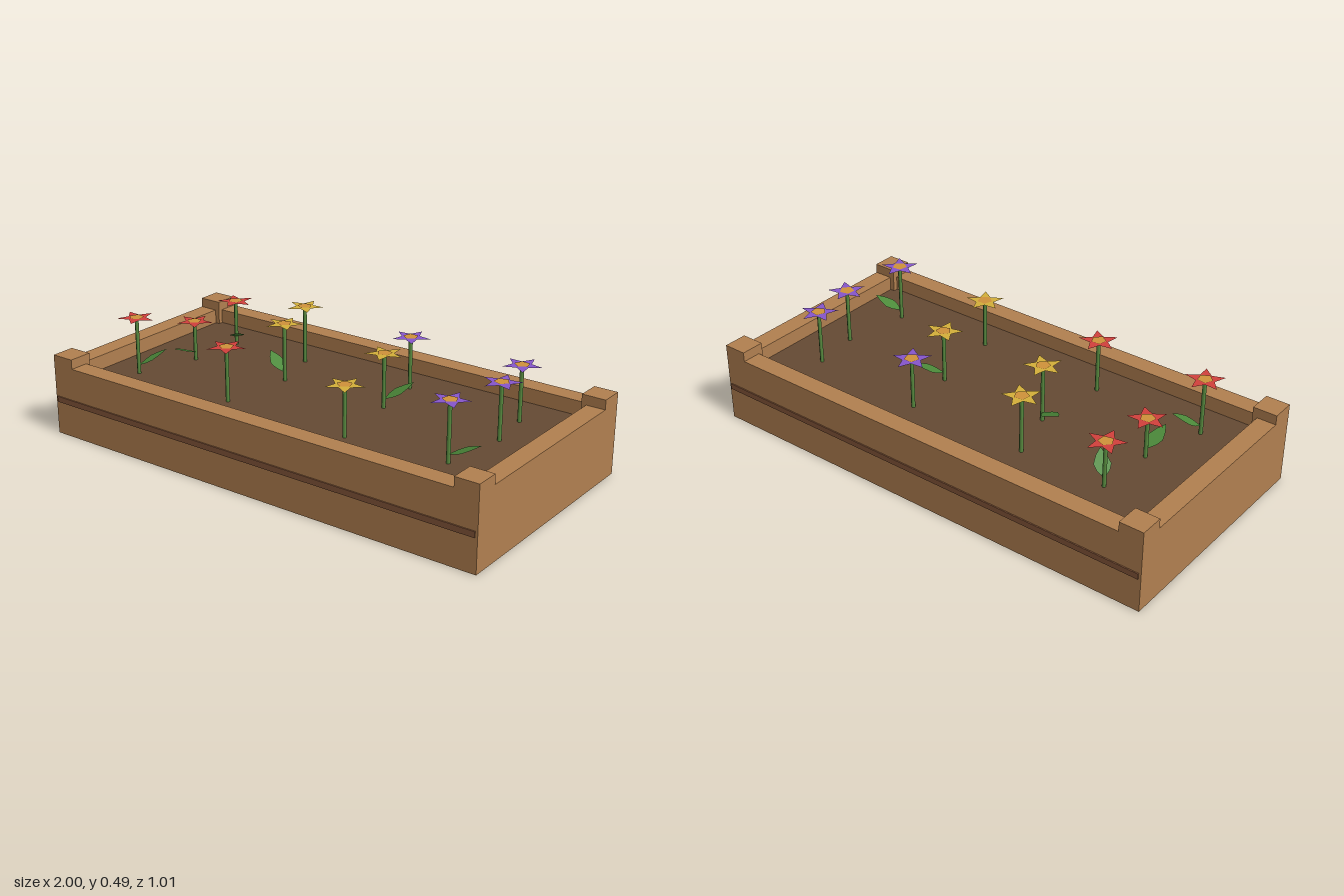
import * as THREE from 'three';

const mat = (name, color, side = THREE.FrontSide) => {
  const m = new THREE.MeshStandardMaterial({ color, side });
  m.name = name;
  return m;
};

export function createModel() {
  const wood = mat('wood', 0xb28050);
  const groove = mat('dark wood', 0x85563a);
  const soilMat = mat('soil', 0x654a34);
  const stemMat = mat('stem green', 0x588c40);
  const leafMat = mat('leaf green', 0x4c8a3a, THREE.DoubleSide);
  const petals = {
    red: mat('red petals', 0xd2403c, THREE.DoubleSide),
    yellow: mat('yellow petals', 0xd4b03a, THREE.DoubleSide),
    purple: mat('purple petals', 0x8756cc, THREE.DoubleSide),
  };
  const centreMat = mat('orange centre', 0xd0923a, THREE.DoubleSide);

  const model = new THREE.Group();
  model.name = 'flowerPlanter';

  const add = (parent, name, geometry, material, x = 0, y = 0, z = 0) => {
    const mesh = new THREE.Mesh(geometry, material);
    mesh.name = name;
    mesh.position.set(x, y, z);
    parent.add(mesh);
    return mesh;
  };
  const box = (name, w, h, d, material, x, y, z) =>
    add(model, name, new THREE.BoxGeometry(w, h, d), material, x, y, z);

  // Planter walls, grooves and corner posts
  for (const s of [-1, 1]) {
    box(s > 0 ? 'frontWall' : 'backWall', 1.8, 0.3, 0.08, wood, 0, 0.15, s * 0.46);
    box(s > 0 ? 'leftWall' : 'rightWall', 0.08, 0.3, 0.8, wood, s * 0.96, 0.15, 0);
    box(s > 0 ? 'frontGroove' : 'backGroove', 1.98, 0.024, 0.09, groove, 0, 0.152, s * 0.46);
    for (const t of [-1, 1]) box('cornerPost', 0.1, 0.34, 0.1, wood, s * 0.95, 0.17, t * 0.45);
  }

  // Soil bed
  box('soil', 1.84, 0.015, 0.84, soilMat, 0, 0.2325, 0);

  // Shared flower pieces
  const star = new THREE.Shape(
    Array.from({ length: 10 }, (_, i) => {
      const a = Math.PI / 2 + (i * Math.PI) / 5;
      const r = i % 2 ? 0.037 : 0.079;
      return new THREE.Vector2(Math.cos(a) * r, Math.sin(a) * r);
    })
  );
  const starGeo = new THREE.ShapeGeometry(star).rotateX(-Math.PI / 2);
  const centreGeo = new THREE.CircleGeometry(0.031, 5, -Math.PI / 10).rotateX(-Math.PI / 2);
  const leafShape = new THREE.Shape(
    [[0, 0], [0.024, 0.035], [0.033, 0.065], [0.02, 0.105], [0, 0.14],
      [-0.02, 0.105], [-0.033, 0.065], [-0.024, 0.035]].map(([x, y]) => new THREE.Vector2(x, y))
  );
  const leafGeo = new THREE.ShapeGeometry(leafShape);
  const stemBase = 0.21;

  // Each flower: colour, x, z, top height, head turn, optional leaf tip [x, y, z]
  const flowers = [
    ['red', -0.67, -0.247, 0.433, -0.4, [-0.59, 0.33, -0.16]],
    ['red', -0.685, 0, 0.408, 0.1, [-0.69, 0.322, 0.125]],
    ['red', -0.765, 0.257, 0.479, -0.15, [-0.683, 0.34, 0.175]],
    ['red', -0.28, 0.27, 0.465, 0.05],
    ['yellow', -0.303, -0.253, 0.482, 0.15, null],
    ['yellow', -0.238, -0.035, 0.482, 0.2, [-0.353, 0.33, -0.088]],
    ['yellow', 0.243, -0.04, 0.463, -0.3, [0.32, 0.335, -0.135]],
    ['yellow', 0.288, 0.277, 0.447, 0],
    ['purple', 0.212, -0.267, 0.456, 0],
    ['purple', 0.73, -0.235, 0.468, -0.1],
    ['purple', 0.76, -0.037, 0.47, 0.25],
    ['purple', 0.715, 0.24, 0.482, 0.1, [0.83, 0.325, 0.208]],
  ];

  for (const [colour, x, z, top, turn, tip] of flowers) {
    const flower = new THREE.Group();
    flower.name = colour + 'Flower';
    flower.position.set(x, 0, z);
    model.add(flower);

    const height = top - stemBase;
    add(flower, 'stem', new THREE.CylinderGeometry(0.008, 0.008, height, 6), stemMat, 0, stemBase + height / 2, 0);
    add(flower, 'petals', starGeo, petals[colour], 0, top + 0.001, 0).rotation.y = turn;
    add(flower, 'centre', centreGeo, centreMat, 0, top + 0.004, 0).rotation.y = turn;

    // Leaf rising from the stem towards its tip
    if (tip) {
      const baseY = 0.275;
      const dx = tip[0] - x, dy = tip[1] - baseY, dz = tip[2] - z;
      const leaf = add(flower, 'leaf', leafGeo, leafMat, 0, baseY, 0);
      leaf.rotation.order = 'YXZ';
      leaf.rotation.y = Math.atan2(dx, dz);
      leaf.rotation.x = Math.PI / 2 - Math.atan2(dy, Math.hypot(dx, dz));
      leaf.scale.y = Math.hypot(dx, dy, dz) / 0.14;
    }
  }

  return model;
}
